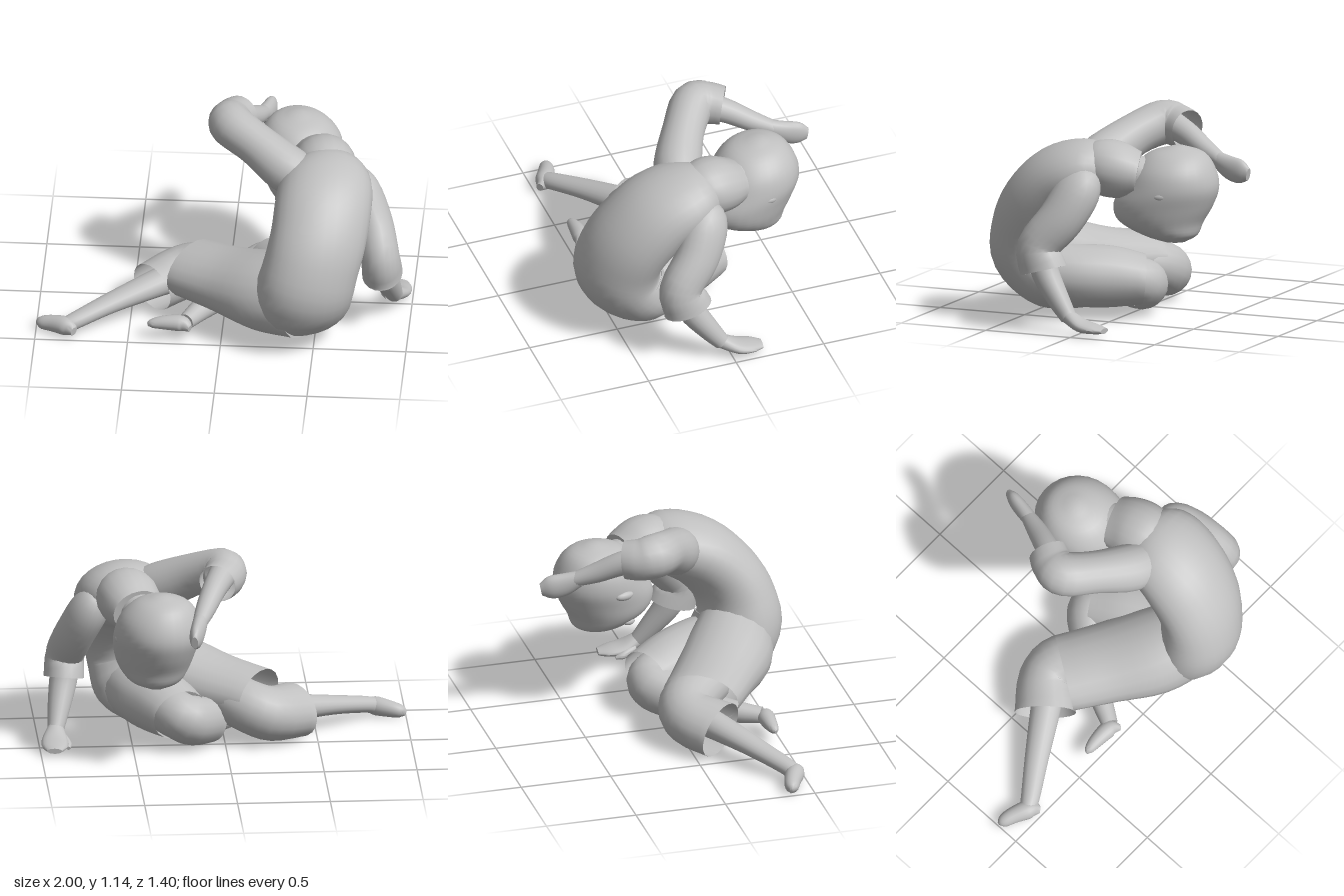
import * as THREE from 'three';
import { toCreasedNormals } from 'three/addons/utils/BufferGeometryUtils.js';

const V = (x, y, z) => new THREE.Vector3(x, y, z);
const clay = new THREE.MeshStandardMaterial({ color: 0xc0c0c0, side: THREE.DoubleSide });
clay.name = 'pale grey';

// Smooth tube through sections [x, y, z, halfWidth, halfDepth].
// side: direction of the width; axis: fixed section normal; caps: [start, end]
function loft(sections, { side = [1, 0, 0], axis = null, caps = [true, true], steps = 4, n = 20 } = {}) {
  const path = new THREE.CatmullRomCurve3(sections.map(s => V(s[0], s[1], s[2])), false, 'catmullrom', 0.5);
  const size = new THREE.CatmullRomCurve3(sections.map(s => V(s[3], s[4] ?? s[3], 0)), false, 'catmullrom', 0.5);
  const rows = (sections.length - 1) * steps, pos = [], idx = [];
  for (let i = 0; i <= rows; i++) {
    const u = i / rows, c = path.getPoint(u), r = size.getPoint(u);
    const t = axis ? V(...axis).normalize() : path.getTangent(u);
    const w = V(...side).addScaledVector(t, -V(...side).dot(t)).normalize();
    const d = t.clone().cross(w);
    for (let j = 0; j < n; j++) {
      const a = j / n * Math.PI * 2;
      const p = c.clone().addScaledVector(w, Math.cos(a) * r.x).addScaledVector(d, Math.sin(a) * r.y);
      pos.push(p.x, Math.max(p.y, 0.003), p.z);
    }
  }
  for (let i = 0; i < rows; i++) for (let j = 0; j < n; j++) {
    const a = i * n + j, b = i * n + (j + 1) % n;
    idx.push(a, b, b + n, a, b + n, a + n);
  }
  [0, rows].forEach((row, k) => {
    if (!caps[k]) return;
    const c = path.getPoint(k), m = pos.length / 3;
    pos.push(c.x, Math.max(c.y, 0.003), c.z);
    for (let j = 0; j < n; j++) {
      const a = row * n + j, b = row * n + (j + 1) % n;
      idx.push(...(k ? [m, a, b] : [m, b, a]));
    }
  });
  const g = new THREE.BufferGeometry();
  g.setAttribute('position', new THREE.Float32BufferAttribute(pos, 3));
  g.setIndex(idx);
  return toCreasedNormals(g, 0.75);
}

export function createModel() {
  const model = new THREE.Group();
  model.name = 'crouchingFigure';
  const add = (name, geometry) => {
    const mesh = new THREE.Mesh(geometry, clay);
    mesh.name = name;
    model.add(mesh);
    return mesh;
  };
  const across = [1, 0, -0.3], open = [true, false];

  // Curled torso, from seat to neck
  add('torso', loft([
    [0.40, 0.11, 0.15, 0.10, 0.05], [0.405, 0.15, 0.25, 0.20, 0.11], [0.42, 0.22, 0.37, 0.27, 0.185],
    [0.45, 0.36, 0.475, 0.27, 0.22], [0.485, 0.50, 0.475, 0.26, 0.205], [0.52, 0.64, 0.41, 0.26, 0.195],
    [0.54, 0.77, 0.28, 0.26, 0.19], [0.55, 0.84, 0.12, 0.24, 0.17], [0.54, 0.85, 0.0, 0.16, 0.13],
  ], { side: across, n: 28 }));
  add('collar', loft([
    [0.54, 0.86, 0.07, 0.15, 0.14], [0.53, 0.86, 0.0, 0.17, 0.155],
    [0.51, 0.845, -0.08, 0.165, 0.15], [0.48, 0.83, -0.16, 0.145, 0.12],
  ], { side: across }));
  add('neck', loft([[0.53, 0.85, 0, 0.11], [0.44, 0.8, -0.25, 0.11]], { side: across }));

  // Head hanging forward with the face down
  add('head', loft([
    [0.40, 0.462, -0.34, 0.05, 0.06], [0.40, 0.50, -0.315, 0.14, 0.15], [0.405, 0.57, -0.265, 0.19, 0.23],
    [0.40, 0.66, -0.275, 0.215, 0.27], [0.385, 0.76, -0.315, 0.23, 0.26], [0.375, 0.86, -0.33, 0.21, 0.22],
    [0.365, 0.94, -0.34, 0.14, 0.15], [0.365, 0.98, -0.35, 0.03, 0.03],
  ], { side: across, axis: [0, 1, 0], n: 28 }));
  const blob = (name, p, s, turn = 0) => {
    const mesh = add(name, new THREE.SphereGeometry(1, 16, 10));
    mesh.position.set(...p);
    mesh.scale.set(...s);
    mesh.rotation.y = turn;
  };
  blob('leftEar', [0.59, 0.735, -0.35], [0.025, 0.025, 0.055], 0.3);
  blob('rightEar', [0.18, 0.735, -0.23], [0.025, 0.025, 0.055], 0.3);
  blob('leftEye', [0.535, 0.535, -0.25], [0.02, 0.02, 0.035], 0.3);
  blob('rightEye', [0.27, 0.535, -0.18], [0.02, 0.02, 0.035], 0.3);
  blob('nose', [0.42, 0.52, -0.2], [0.022, 0.025, 0.03]);

  // Left arm propped on the ground
  add('leftSleeve', loft([
    [0.67, 0.84, 0.08, 0.08, 0.09], [0.73, 0.76, 0.08, 0.105, 0.125], [0.80, 0.61, 0.15, 0.105, 0.125],
    [0.845, 0.46, 0.26, 0.105, 0.117], [0.855, 0.335, 0.225, 0.11, 0.135],
  ], { caps: open }));
  add('leftForearm', loft([
    [0.84, 0.44, 0.25, 0.075], [0.86, 0.32, 0.21, 0.075], [0.89, 0.19, 0.12, 0.06], [0.91, 0.1, 0.05, 0.045],
  ]));
  add('leftHand', loft([
    [0.91, 0.11, 0.06, 0.04, 0.04], [0.92, 0.065, -0.03, 0.07, 0.035],
    [0.925, 0.052, -0.11, 0.068, 0.026], [0.93, 0.047, -0.17, 0.04, 0.015],
  ]));
  add('leftThumb', loft([[0.88, 0.07, 0.02, 0.025], [0.85, 0.045, -0.05, 0.02], [0.85, 0.035, -0.09, 0.01]]));

  // Right arm raised over the head
  add('rightSleeve', loft([
    [0.47, 0.84, 0.14, 0.11], [0.33, 0.89, 0.095, 0.13], [0.16, 0.98, 0.0, 0.115],
    [0.025, 1.03, -0.10, 0.12], [0.02, 1.02, -0.18, 0.115], [0.06, 1.01, -0.26, 0.105],
  ], { side: [0, 1, 0], caps: open }));
  add('rightForearm', loft([
    [0.03, 1.02, -0.16, 0.075], [0.08, 0.98, -0.28, 0.065], [0.13, 0.92, -0.40, 0.055], [0.17, 0.875, -0.51, 0.04],
  ], { side: [0, 1, 0] }));
  add('rightHand', loft([
    [0.165, 0.88, -0.49, 0.045, 0.04], [0.185, 0.845, -0.57, 0.065, 0.04],
    [0.20, 0.83, -0.64, 0.065, 0.035], [0.21, 0.82, -0.69, 0.035, 0.018],
  ], { side: [0, 1, 0] }));

  // Right leg folded outwards
  const flat = [-0.55, 0, 0.83];
  add('rightTunicSkirt', loft([
    [0.42, 0.31, 0.45, 0.21, 0.24], [0.23, 0.285, 0.36, 0.24, 0.215],
    [0.02, 0.265, 0.225, 0.225, 0.165], [-0.185, 0.25, 0.09, 0.215, 0.14],
  ], { side: flat, caps: open }));
  add('rightTrouser', loft([
    [0.02, 0.25, 0.17, 0.15, 0.13], [-0.13, 0.21, 0.03, 0.15, 0.14],
    [-0.25, 0.17, 0.025, 0.155, 0.145], [-0.39, 0.15, 0.145, 0.17, 0.135],
  ], { side: flat, caps: open }));
  add('rightShin', loft([
    [-0.25, 0.18, 0.05, 0.085], [-0.40, 0.16, 0.15, 0.08, 0.07], [-0.60, 0.125, 0.28, 0.065, 0.052],
    [-0.77, 0.085, 0.395, 0.052, 0.045], [-0.83, 0.065, 0.43, 0.045],
  ], { side: [0.6, 0, 0.8] }));
  add('rightFoot', loft([
    [-0.79, 0.055, 0.48, 0.02, 0.025], [-0.83, 0.062, 0.44, 0.05, 0.05],
    [-0.91, 0.055, 0.40, 0.045, 0.045], [-0.97, 0.045, 0.38, 0.035, 0.035], [-0.995, 0.035, 0.37, 0.01, 0.015],
  ], { side: [0.4, 0, 0.9] }));

  // Left leg tucked underneath
  add('leftTunicSkirt', loft([
    [0.50, 0.25, 0.42, 0.17, 0.17], [0.42, 0.235, 0.22, 0.19, 0.17],
    [0.33, 0.225, 0.06, 0.185, 0.165], [0.25, 0.21, -0.09, 0.165, 0.135],
  ], { caps: open }));
  add('leftKnee', loft([
    [0.33, 0.21, 0.06, 0.13], [0.25, 0.195, -0.06, 0.13], [0.18, 0.165, -0.05, 0.135], [0.06, 0.13, 0.06, 0.12, 0.1],
  ], { side: [0, 1, 0], caps: open }));
  add('leftShin', loft([
    [0.18, 0.16, -0.04, 0.09], [0.02, 0.13, 0.12, 0.08], [-0.11, 0.115, 0.29, 0.062], [-0.19, 0.11, 0.43, 0.045],
  ], { side: [0, 1, 0] }));
  add('leftFoot', loft([
    [-0.165, 0.10, 0.485, 0.015, 0.02], [-0.21, 0.11, 0.45, 0.045, 0.042],
    [-0.30, 0.11, 0.445, 0.04, 0.038], [-0.37, 0.105, 0.45, 0.026, 0.025], [-0.395, 0.10, 0.455, 0.008, 0.01],
  ], { side: [0, 0, 1] }));

  return model;
}
